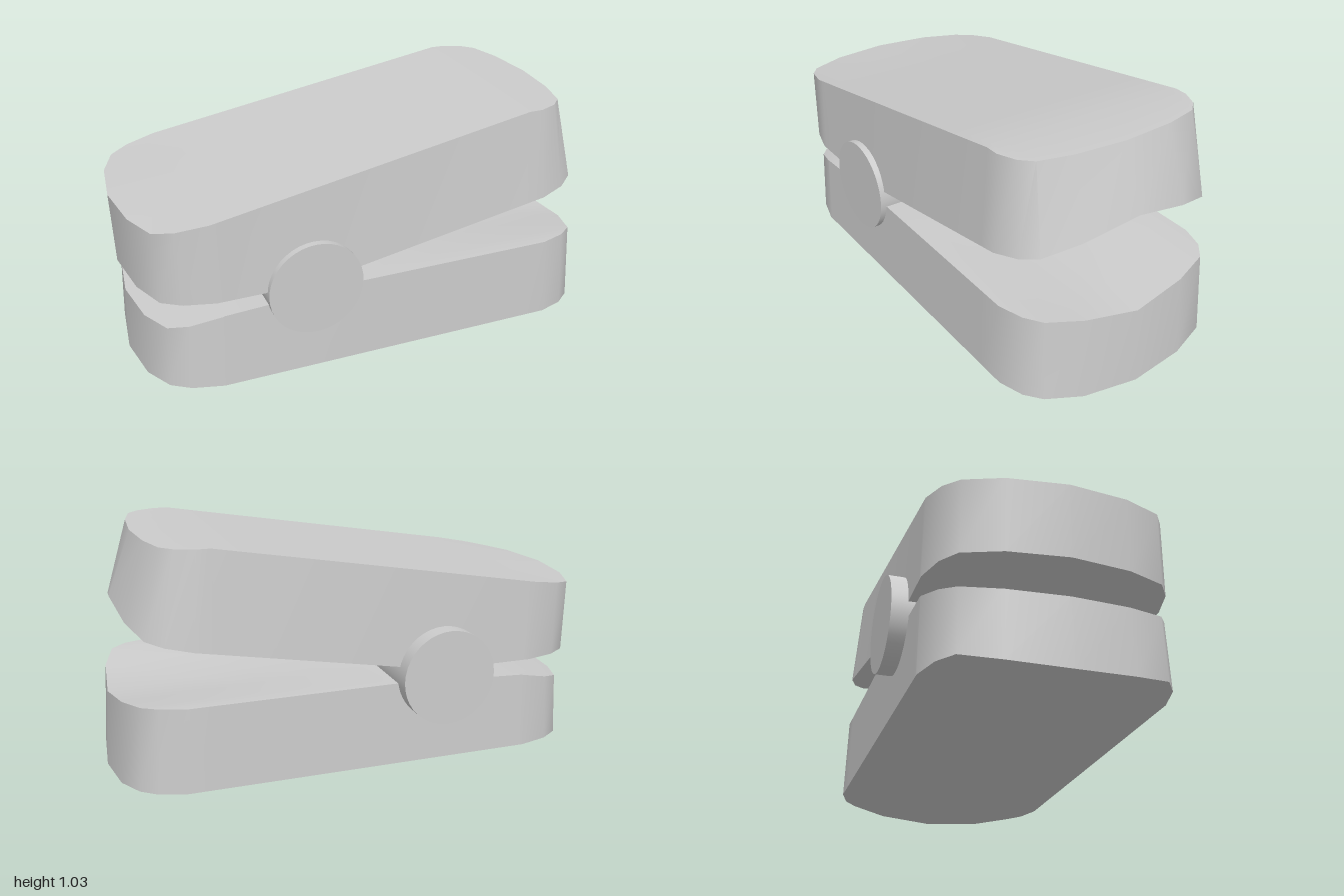
import * as THREE from 'three';
import { toCreasedNormals } from 'three/addons/utils/BufferGeometryUtils.js';

const material = new THREE.MeshStandardMaterial({ color: 0xcccccc });
const clamp01 = (v) => Math.min(1, Math.max(0, v));

// Columns across the width (fraction of half width) and how far each column's end is set back
const half = [[1, 0.3], [0.93, 0.17], [0.82, 0.09], [0.5, 0.03]];
const columns = [
  ...half.map(([f, e]) => [-f, e]),
  [0, 0],
  ...half.slice().reverse(),
];
// Stations along the length, front to back
const stations = [-0.72, -0.6, -0.33, -0.12, 0.15, 0.4, 0.64];

// Grid of points for one face: rounded ends, width and height given by rules
function faceGrid({ front, back, backRound, width, height }) {
  return columns.map(([f, e]) =>
    [-(front - e), ...stations, back - e * backRound].map(
      (s) => new THREE.Vector3(f * width(s), height(s, f), -s)));
}

// Closed shell between a bottom and a top face
function shell(name, bottomSpec, topSpec) {
  const bottom = faceGrid(bottomSpec);
  const top = faceGrid(topSpec);
  const pos = [];
  const quad = (a, b, c, d) => [a, b, c, a, c, d].forEach((p) => pos.push(p.x, p.y, p.z));
  const m = columns.length - 1;
  const n = stations.length + 1;
  for (let i = 0; i < m; i++) {
    for (let j = 0; j < n; j++) {
      quad(top[i][j], top[i + 1][j], top[i + 1][j + 1], top[i][j + 1]);
      quad(bottom[i][j], bottom[i][j + 1], bottom[i + 1][j + 1], bottom[i + 1][j]);
    }
  }
  // Side wall around the rim
  const rim = [];
  for (let i = 0; i < m; i++) rim.push([i, 0]);
  for (let j = 0; j < n; j++) rim.push([m, j]);
  for (let i = m; i > 0; i--) rim.push([i, n]);
  for (let j = n; j > 0; j--) rim.push([0, j]);
  rim.forEach(([i, j], k) => {
    const [p, q] = rim[(k + 1) % rim.length];
    quad(bottom[i][j], bottom[p][q], top[p][q], top[i][j]);
  });
  const geometry = new THREE.BufferGeometry();
  geometry.setAttribute('position', new THREE.Float32BufferAttribute(pos, 3));
  const mesh = new THREE.Mesh(toCreasedNormals(geometry, 0.65), material);
  mesh.name = name;
  return mesh;
}

// Finger groove: deepens toward the back, strongest on the centre line
const groove = (s, f) => clamp01(1 - Math.abs(f) / 0.88) * clamp01((s + 0.12) / 1.09);

export function createModel() {
  const group = new THREE.Group();
  group.name = 'fingerClip';
  const body = new THREE.Group();
  body.name = 'body';
  body.rotation.y = -0.685;
  group.add(body);

  // Lower shell: slightly bowed underside, lip falling away at the front
  body.add(shell('lowerShell',
    {
      front: 1.04, back: 1.03, backRound: 0.85, width: () => 0.495,
      height: (s, f) => 0.04 * Math.min(1, (f / 0.82) ** 2),
    },
    {
      front: 1.03, back: 1.01, backRound: 0.85, width: () => 0.487,
      height: (s, f) => 0.4 - 0.03 * clamp01((-0.12 - s) / 0.6)
        - 0.26 * Math.max(0, -0.72 - s) - 0.065 * groove(s, f),
    }));

  // Upper shell: tilted open toward the back
  body.add(shell('upperShell',
    {
      front: 1.05, back: 0.98, backRound: 0.85, width: () => 0.492,
      height: (s, f) => 0.44 + 0.18 * Math.max(0, s + 0.33) + 0.08 * groove(s, f),
    },
    {
      front: 1.06, back: 0.88, backRound: 0.6, width: (s) => 0.49 - 0.0175 * (s + 1),
      height: (s) => Math.min(1.03, Math.max(0.75, 1.03 + 0.174 * (s - 0.64))),
    }));

  // Hinge barrel running through both sides
  const hinge = new THREE.Mesh(new THREE.CylinderGeometry(0.205, 0.205, 1.075, 40), material);
  hinge.name = 'hinge';
  hinge.rotation.z = Math.PI / 2;
  hinge.position.set(-0.0225, 0.425, 0.338);
  body.add(hinge);

  return group;
}
